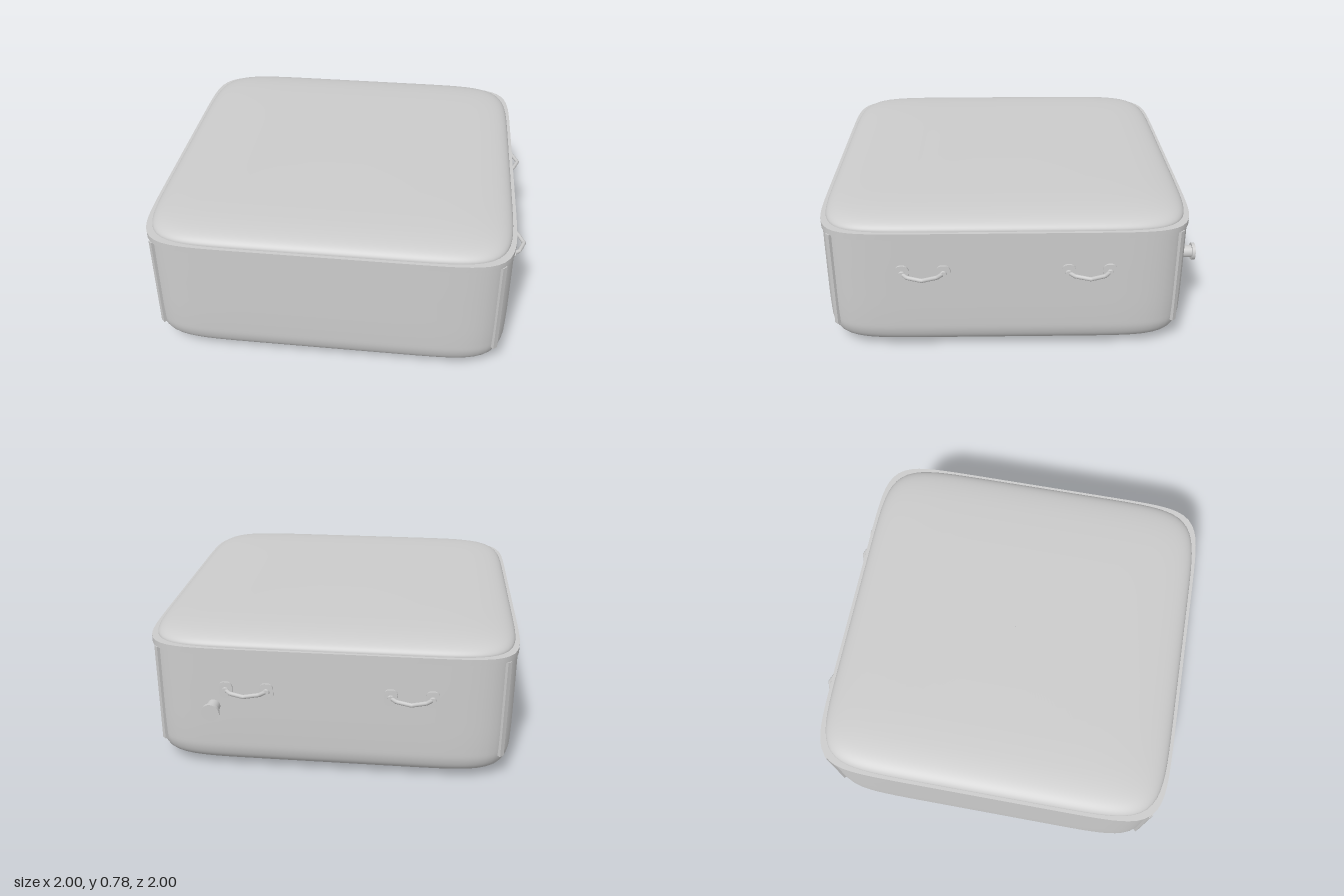
import * as THREE from 'three';
import { toCreasedNormals } from 'three/addons/utils/BufferGeometryUtils.js';

const material = new THREE.MeshStandardMaterial({ color: 0xcccccc });
const CX = -0.04, CZ = 0.04;      // centre of the case in plan
const SEGMENTS = 192;

function add(parent, name, geometry, x = 0, y = 0, z = 0) {
  const mesh = new THREE.Mesh(geometry, material);
  mesh.name = name;
  mesh.position.set(x, y, z);
  parent.add(mesh);
  return mesh;
}

// Stack of rounded-square rings; profile is [half width, height] from bottom to top
function loft(profile, power) {
  const positions = [], index = [];
  profile.forEach(([half, y], i) => {
    for (let j = 0; j < SEGMENTS; j++) {
      const a = (j / SEGMENTS) * Math.PI * 2;
      const c = Math.cos(a), s = Math.sin(a);
      const r = half * (Math.abs(c) ** power + Math.abs(s) ** power) ** (-1 / power);
      positions.push(r * c, y, r * s);
      if (i === 0) continue;
      const k = (j + 1) % SEGMENTS;
      const low = (i - 1) * SEGMENTS, high = i * SEGMENTS;
      index.push(low + j, high + j, low + k, low + k, high + j, high + k);
    }
  });
  const geometry = new THREE.BufferGeometry();
  geometry.setAttribute('position', new THREE.Float32BufferAttribute(positions, 3));
  geometry.setIndex(index);
  geometry.computeVertexNormals();
  return geometry;
}

function smoothProfile(points, count) {
  const curve = new THREE.CatmullRomCurve3(points.map(([r, y]) => new THREE.Vector3(r, y, 0)), false, 'centripetal');
  return curve.getPoints(count).map(p => [Math.max(p.x, 0.001), p.y]);
}

function roundedPlate(w, h, r, depth) {
  const x = w / 2, y = h / 2;
  const s = new THREE.Shape();
  s.moveTo(-x + r, -y);
  s.lineTo(x - r, -y);
  s.absarc(x - r, -y + r, r, -Math.PI / 2, 0);
  s.lineTo(x, y - r);
  s.absarc(x - r, y - r, r, 0, Math.PI / 2);
  s.lineTo(-x + r, y);
  s.absarc(-x + r, y - r, r, Math.PI / 2, Math.PI);
  s.lineTo(-x, -y + r);
  s.absarc(-x + r, -y + r, r, Math.PI, Math.PI * 1.5);
  return new THREE.ExtrudeGeometry(s, { depth, bevelEnabled: false, curveSegments: 6 });
}

// Bent bar between two mounting plates, pointing out along +z
function makeHandle(name) {
  const handle = new THREE.Group();
  handle.name = name;
  const path = new THREE.CurvePath();
  const points = [[-0.105, 0.005], [-0.075, 0.043], [0, 0.072], [0.075, 0.043], [0.105, 0.005]]
    .map(([x, z]) => new THREE.Vector3(x, 0, z));
  for (let i = 1; i < points.length; i++) path.add(new THREE.LineCurve3(points[i - 1], points[i]));
  add(handle, 'handleBar', new THREE.TubeGeometry(path, 32, 0.011, 10));
  for (const side of [-1, 1]) {
    add(handle, 'mountingPlate', roundedPlate(0.07, 0.09, 0.028, 0.016), side * 0.105, 0, -0.006);
    const boss = add(handle, 'barSocket', new THREE.CylinderGeometry(0.016, 0.018, 0.016, 16), side * 0.105, 0, 0.014);
    boss.rotation.x = Math.PI / 2;
  }
  return handle;
}

export function createModel() {
  const model = new THREE.Group();
  model.name = 'coveredTub';

  // Tub with softly rounded bottom edge
  const tub = [[0, 0.005], [0.4, 0.006], [0.66, 0.012], [0.81, 0.026], [0.89, 0.047],
    [0.93, 0.08], [0.95, 0.13], [0.955, 0.2], [0.956, 0.45], [0.955, 0.7]];
  add(model, 'tubBody', loft(smoothProfile(tub, 40), 9), CX, 0, CZ);

  // Rim band and domed cover
  const rim = [[0.93, 0.68], [0.96, 0.68], [0.96, 0.713], [0.92, 0.713]];
  add(model, 'rimBand', toCreasedNormals(loft(rim, 9.3), 0.7), CX, 0, CZ);
  const cover = [[0.943, 0.705], [0.94, 0.722], [0.925, 0.74], [0.89, 0.758], [0.81, 0.774],
    [0.66, 0.784], [0.4, 0.787], [0, 0.788]];
  add(model, 'cover', loft(smoothProfile(cover, 32), 8), CX, 0, CZ);

  // Vertical seam strips on the four corners
  for (const sx of [-1, 1]) for (const sz of [-1, 1]) {
    const strip = add(model, 'cornerStrip', new THREE.BoxGeometry(0.028, 0.537, 0.02),
      CX + sx * 0.887, 0.4125, CZ + sz * 0.887);
    strip.rotation.y = Math.atan2(sx, sz);
  }

  // Two handles on the left side, two on the back
  for (const z of [-0.383, 0.46]) {
    const handle = makeHandle('sideHandle');
    handle.position.set(0.916, 0.487, z);
    handle.rotation.y = Math.PI / 2;
    model.add(handle);
  }
  for (const x of [-0.46, 0.38]) {
    const handle = makeHandle('backHandle');
    handle.position.set(x, 0.487, -0.916);
    handle.rotation.y = Math.PI;
    model.add(handle);
  }

  // Drain spout with a wider cap
  const drain = new THREE.Group();
  drain.name = 'drain';
  drain.position.set(0.553, 0.39, 0);
  model.add(drain);
  const stem = add(drain, 'drainStem', new THREE.CylinderGeometry(0.034, 0.034, 0.1, 24), 0, 0, -0.935);
  const cap = add(drain, 'drainCap', new THREE.CylinderGeometry(0.047, 0.047, 0.018, 24), 0, 0, -0.991);
  stem.rotation.x = cap.rotation.x = Math.PI / 2;

  return model;
}
